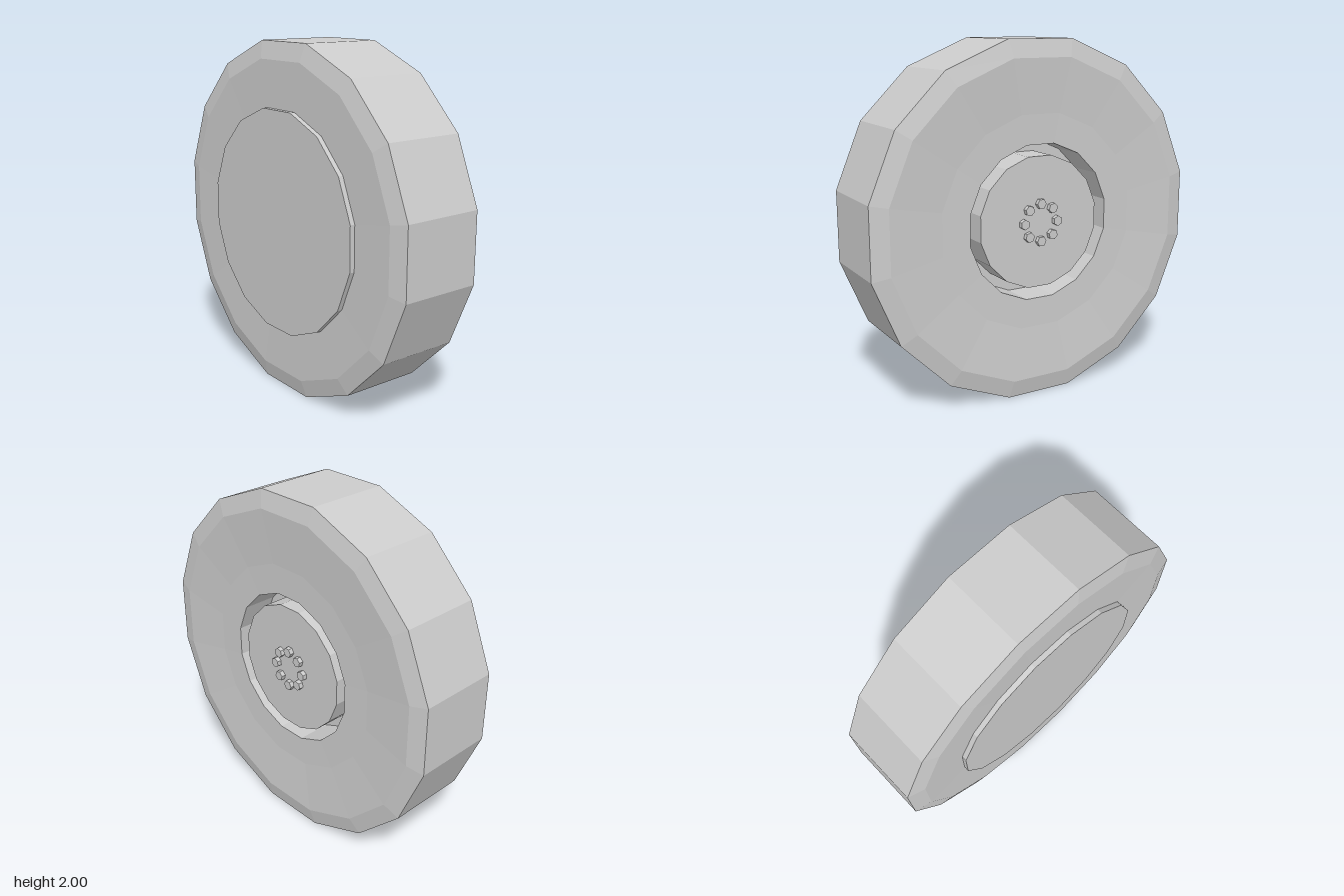
import * as THREE from 'three';

const SIDES = 16;
const STRETCH = 1 / Math.cos(Math.PI / SIDES); // flat-to-flat radius -> corner radius

export function createModel() {
  const group = new THREE.Group();
  const material = new THREE.MeshStandardMaterial({ color: 0xcccccc, flatShading: true });

  // Turns a [radius, x] profile around the x axis, with a flat facet on top
  function turned(name, profile) {
    const points = profile.map(([r, x]) => new THREE.Vector2(r * STRETCH, x));
    const geometry = new THREE.LatheGeometry(points, SIDES, Math.PI / SIDES);
    geometry.rotateZ(-Math.PI / 2);
    const mesh = new THREE.Mesh(geometry, material);
    mesh.name = name;
    mesh.position.y = 1;
    group.add(mesh);
  }

  // Tyre: bevelled tread, slightly dished outer side, straight bore
  turned('tyre', [
    [0.435, -0.245], [0.6, -0.245], [0.9, -0.25], [1, -0.225],
    [1, 0.25], [0.9, 0.273], [0.6, 0.252], [0.435, 0.25], [0.435, -0.245],
  ]);

  // Hub: floor of the groove and the raised centre disc
  turned('hub', [[0.435, 0.05], [0.37, 0.05], [0.37, 0.245], [0, 0.245]]);

  // Plate on the inner side
  turned('backPlate', [[0, -0.275], [0.635, -0.275], [0.635, -0.24]]);

  // Ring of hexagonal wheel nuts
  const nuts = new THREE.Group();
  nuts.name = 'wheelNuts';
  nuts.position.set(0.253, 1, 0);
  const nutGeometry = new THREE.CylinderGeometry(0.029, 0.029, 0.036, 6);
  nutGeometry.rotateZ(-Math.PI / 2);
  for (let i = 0; i < 8; i++) {
    const angle = (i * Math.PI) / 4;
    const nut = new THREE.Mesh(nutGeometry, material);
    nut.name = 'wheelNut';
    nut.position.set(0, Math.cos(angle) * 0.106, Math.sin(angle) * 0.106);
    nut.rotation.x = angle;
    nuts.add(nut);
  }
  group.add(nuts);

  return group;
}
